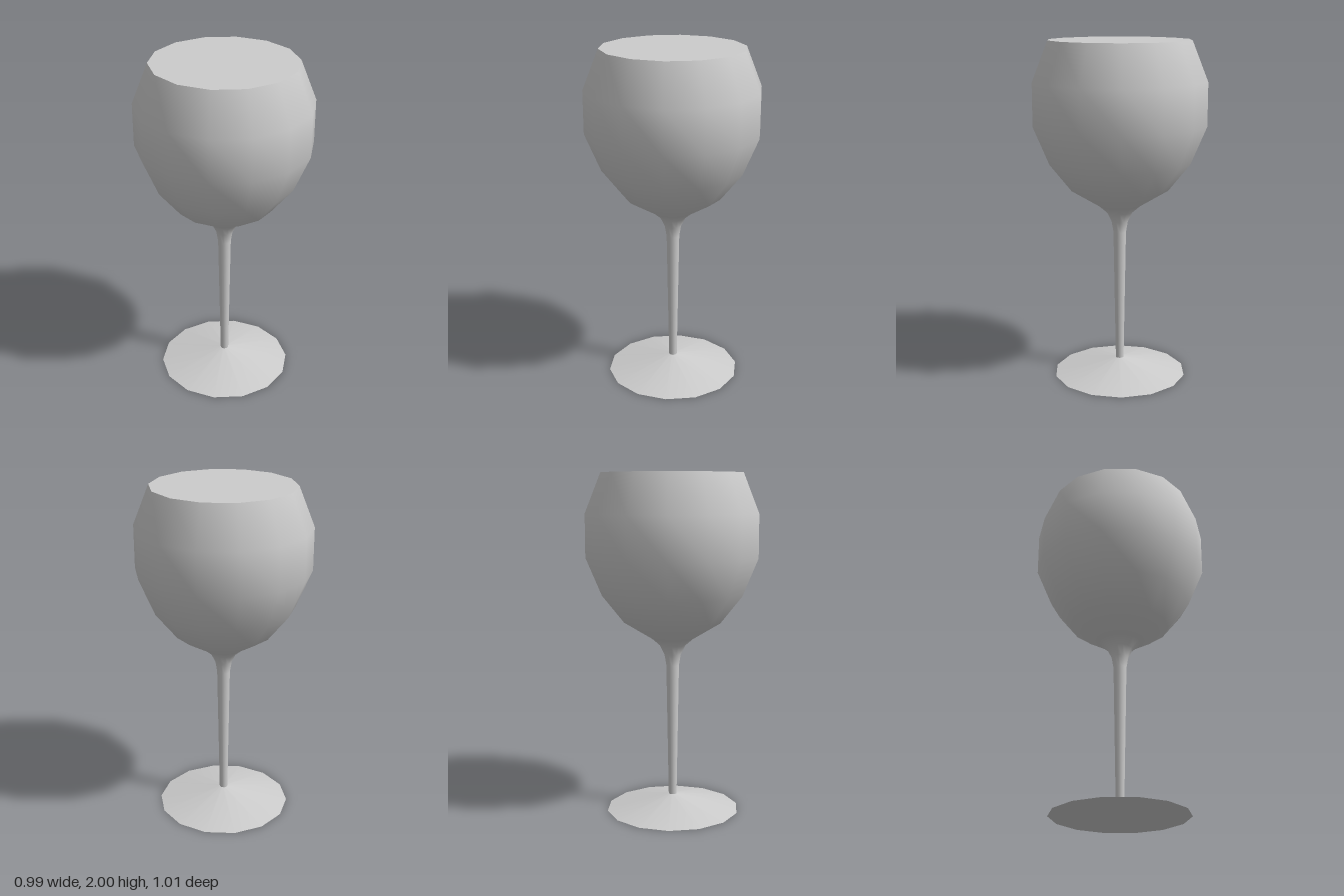
import * as THREE from 'three';

const SIDES = 14;

export function createModel() {
  const group = new THREE.Group();
  const material = new THREE.MeshStandardMaterial({ color: 0xcccccc });

  const add = (name, geometry, y = 0) => {
    const mesh = new THREE.Mesh(geometry, material);
    mesh.name = name;
    mesh.position.y = y;
    group.add(mesh);
    return mesh;
  };
  const lathe = (points) =>
    new THREE.LatheGeometry(points.map(([r, y]) => new THREE.Vector2(r, y)), SIDES);
  // Flat disc whose corners line up with the lathe, one corner on the z axis
  const disc = (radius, up) =>
    new THREE.CircleGeometry(radius, SIDES, Math.PI / 2).rotateX(up ? -Math.PI / 2 : Math.PI / 2);

  // Stem flaring smoothly into the faceted bowl
  add('stemAndBowl', lathe([
    [0.024, 0.085], [0.038, 0.88], [0.049, 0.945], [0.076, 1.0], [0.122, 1.04],
    [0.287, 1.14], [0.414, 1.3], [0.506, 1.52], [0.506, 1.77], [0.414, 2],
  ]));

  // Flat surface closing the rim
  add('bowlTop', disc(0.414, true), 2);

  // Shallow conical foot with a flat underside
  add('foot', lathe([[0.396, 0], [0.024, 0.088]]));
  add('footUnderside', disc(0.396, false));

  return group;
}
